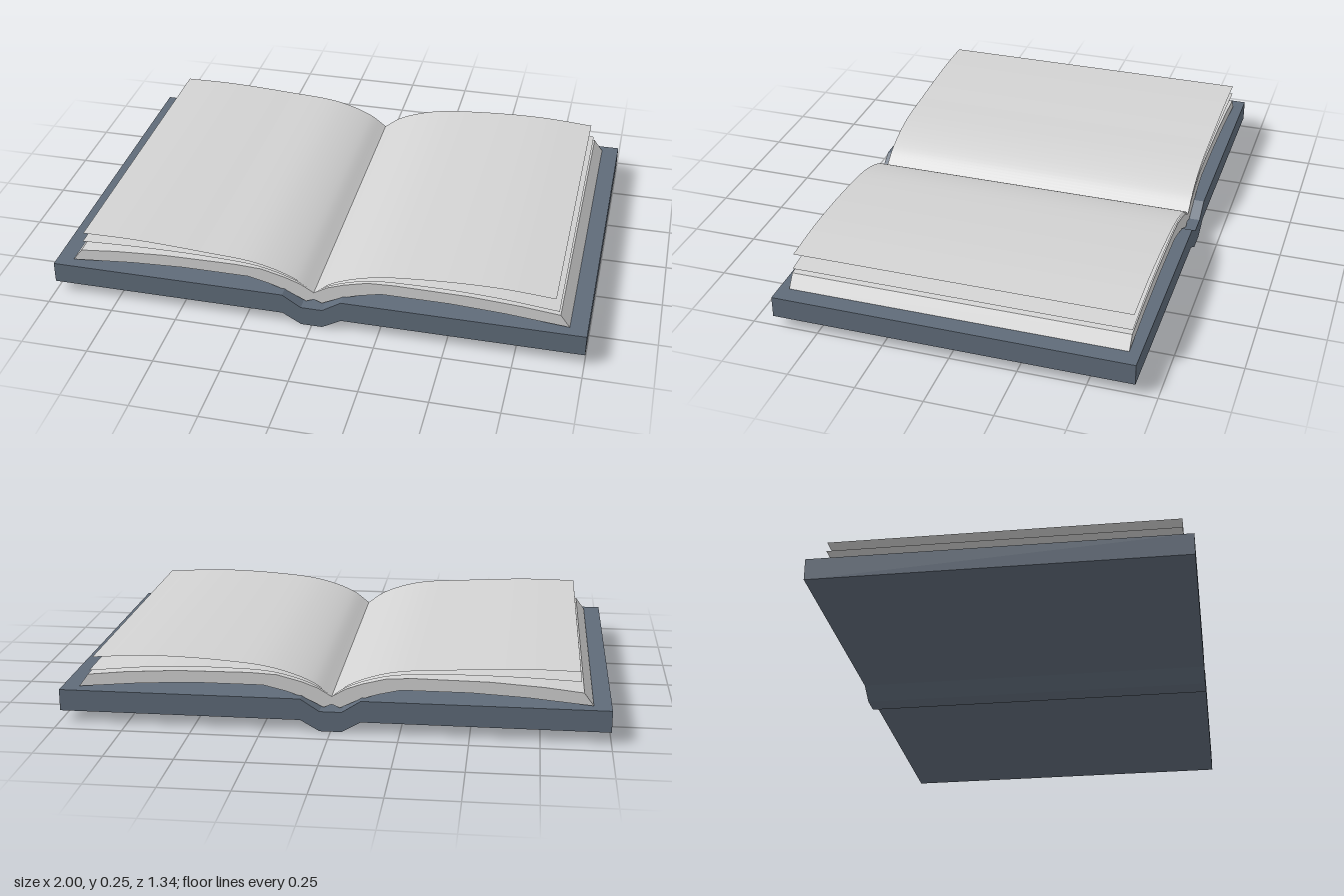
import * as THREE from 'three';

const coverMaterial = new THREE.MeshStandardMaterial({ name: 'slate cover', color: 0x5f6b79 });
const paperMaterial = new THREE.MeshStandardMaterial({ name: 'paper', color: 0xd2d2d2, side: THREE.DoubleSide });

// Extrudes a left-right symmetric outline, given as the +x halves of its top and bottom edges.
function symmetricSlab(name, top, bottom, depth, material) {
  const half = [...top, ...[...bottom].reverse()];
  const mirrored = [...half].reverse().map(([x, y]) => [-x, y]);
  const points = [...half, ...mirrored]
    .map(([x, y]) => new THREE.Vector2(x, y))
    .filter((p, i, all) => i === 0 || p.distanceTo(all[i - 1]) > 1e-6);
  if (points[0].distanceTo(points[points.length - 1]) < 1e-6) points.pop();
  const geometry = new THREE.ExtrudeGeometry(new THREE.Shape(points), { depth, bevelEnabled: false });
  geometry.translate(0, 0, -depth / 2);
  const mesh = new THREE.Mesh(geometry, material);
  mesh.name = name;
  return mesh;
}

// A single curved sheet from the gutter outwards; side is +1 (left) or -1 (right).
function looseSheet(name, profile, side, depth) {
  const curve = new THREE.CatmullRomCurve3(
    profile.map(([x, y]) => new THREE.Vector3(x * side, y, 0)), false, 'centripetal');
  const geometry = new THREE.PlaneGeometry(1, depth, 32, 1).rotateX(-Math.PI / 2);
  const position = geometry.attributes.position;
  for (let i = 0; i < position.count; i++) {
    const t = position.getX(i) + 0.5;
    const p = curve.getPoint(THREE.MathUtils.clamp(side > 0 ? t : 1 - t, 0, 1));
    position.setXY(i, p.x, p.y);
  }
  geometry.computeVertexNormals();
  const mesh = new THREE.Mesh(geometry, paperMaterial);
  mesh.name = name;
  return mesh;
}

export function createModel() {
  const book = new THREE.Group();
  book.name = 'openBook';

  // Hard cover with the spine dropped in the middle
  book.add(symmetricSlab('cover',
    [[0.04, 0.075], [0.11, 0.12], [1, 0.12]],
    [[0.04, 0], [0.11, 0.04], [1, 0.04]],
    1.34, coverMaterial));

  // Arched stack of pages with bevelled outer edges
  book.add(symmetricSlab('pageBlock',
    [[0, 0.12], [0.05, 0.15], [0.11, 0.172], [0.2, 0.195], [0.3, 0.2], [0.57, 0.197], [0.76, 0.185], [0.9, 0.17]],
    [[0, 0.09], [0.03, 0.078], [0.1, 0.113], [0.17, 0.135], [0.25, 0.154], [0.5, 0.154], [0.7, 0.144], [0.935, 0.123]],
    1.26, paperMaterial));

  // Lifted sheets on each half
  const sheets = [
    ['leftTopSheet', 1, [[0, 0.121], [0.07, 0.172], [0.21, 0.22], [0.4, 0.242], [0.67, 0.25], [0.88, 0.237]]],
    ['leftSecondSheet', 1, [[0, 0.121], [0.06, 0.16], [0.2, 0.203], [0.4, 0.214], [0.65, 0.208], [0.895, 0.185]]],
    ['rightTopSheet', -1, [[0, 0.121], [0.07, 0.17], [0.21, 0.217], [0.43, 0.236], [0.69, 0.249], [0.885, 0.248]]],
    ['rightSecondSheet', -1, [[0, 0.121], [0.06, 0.16], [0.2, 0.204], [0.4, 0.218], [0.65, 0.219], [0.89, 0.211]]],
  ];
  for (const [name, side, profile] of sheets) book.add(looseSheet(name, profile, side, 1.26));

  return book;
}
